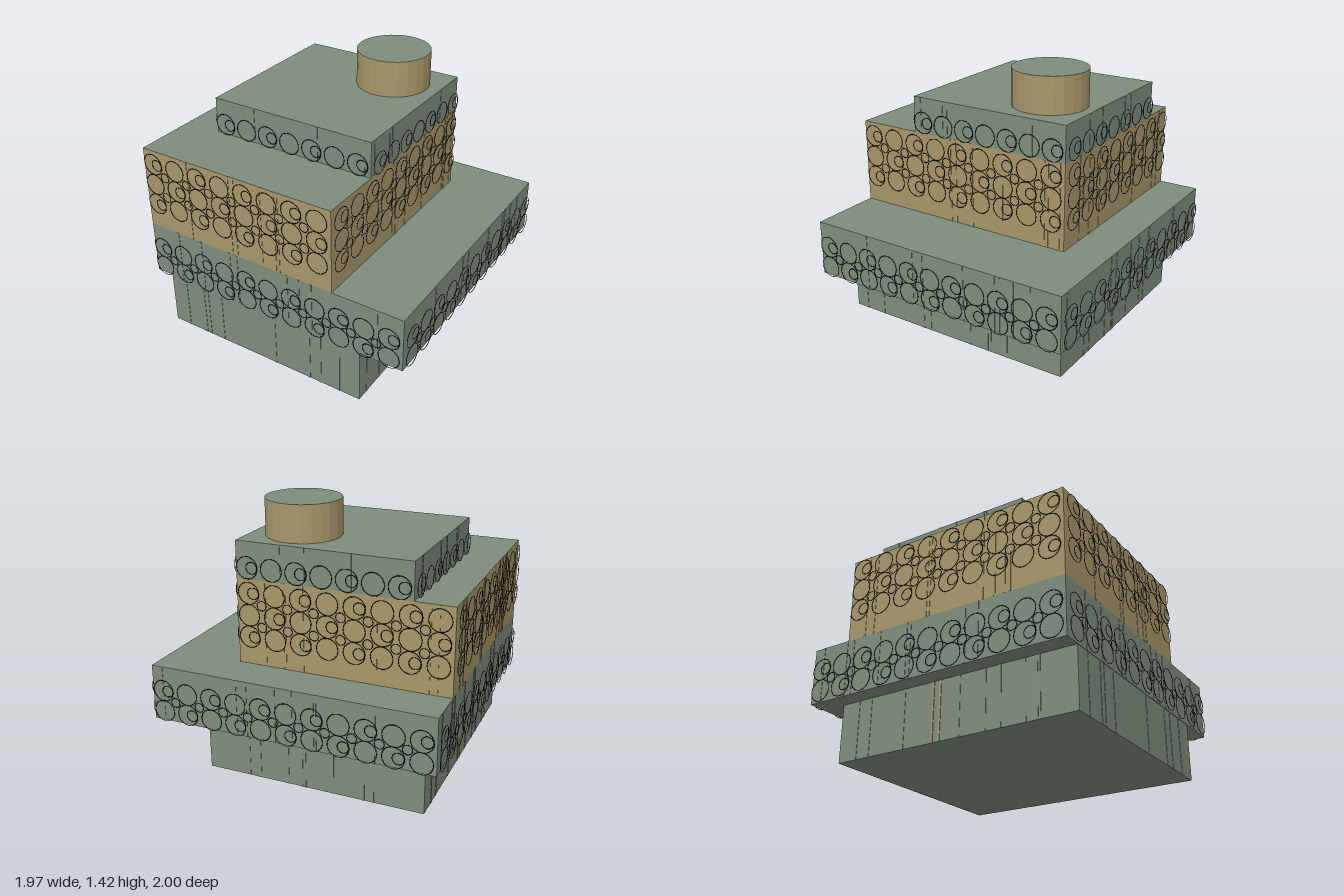
import * as THREE from 'three';
import { mergeGeometries } from 'three/addons/utils/BufferGeometryUtils.js';

const mat = (name, color) => {
  const m = new THREE.MeshStandardMaterial({ color });
  m.name = name;
  return m;
};

// small seeded generator for the panel strips
function seeded(seed) {
  return () => (seed = (seed * 16807) % 2147483647) / 2147483647;
}

export function createModel() {
  const green = mat('sage green', 0x7e8d7d);
  const tan = mat('ochre', 0xa8976a);
  const dark = mat('ring black', 0x18201f);
  const rand = seeded(4217);

  const model = new THREE.Group();
  const building = new THREE.Group();
  building.name = 'building';
  building.rotation.y = THREE.MathUtils.degToRad(24.5);
  model.add(building);

  const add = (parent, name, geometry, material) => {
    const mesh = new THREE.Mesh(geometry, material);
    mesh.name = name;
    parent.add(mesh);
    return mesh;
  };

  // fine wire rings for one wall: rows of big rings, nested small rings, fillers between rows
  function wallRings(length, dist, rows) {
    const parts = [];
    const n = Math.round(length / 0.135), pitch = length / n;
    const ring = (r, x, y) =>
      parts.push(new THREE.TorusGeometry(r, 0.0018, 4, 20).translate(x, y, dist + 0.013));
    rows.forEach((y, j) => {
      for (let i = 0; i < n; i++) {
        const x = (i + 0.5) * pitch - length / 2;
        ring(0.057, x, y);
        if ((i + j) % 2 === 0) ring(0.03, x + 0.025, y);
        if (j > 0 && i > 0) ring(0.025, x - pitch / 2, (y + rows[j - 1]) / 2);
      }
    });
    return mergeGeometries(parts);
  }

  // one storey: a box with upright strips and rings on its four walls
  function storey({ name, x, z, y, wall, rows, strips, accents = [] }) {
    const w = x[1] - x[0], d = z[1] - z[0], h = y[1] - y[0];
    const group = new THREE.Group();
    group.name = name;
    group.position.set((x[0] + x[1]) / 2, (y[0] + y[1]) / 2, (z[0] + z[1]) / 2);
    building.add(group);
    add(group, name + 'Body', new THREE.BoxGeometry(w, h, d), [wall, wall, green, green, wall, wall]);

    for (let k = 0; k < 4; k++) {
      const length = k % 2 ? d : w, dist = (k % 2 ? w : d) / 2;
      const side = new THREE.Group();
      side.name = name + 'Wall' + (k + 1);
      side.rotation.y = k * Math.PI / 2;
      group.add(side);
      // narrow upright strips in the wall colour
      const strip = (px) => new THREE.BoxGeometry(0.012, h, 0.004).translate(px, 0, dist);
      const plain = Array.from({ length: strips }, () => strip((rand() - 0.5) * (length - 0.06)));
      add(side, 'wallStrips', mergeGeometries(plain), wall);
      // ochre strips on the back wall
      if (k === 2) accents.forEach((px) => add(side, 'ochreStrip', strip(px).translate(0, 0, 0.001), tan));
      if (rows.length) add(side, 'wallRings', wallRings(length, dist, rows.map((r) => r - group.position.y)), dark);
    }
  }

  storey({ name: 'plinth', x: [-0.727, 0.598], z: [-0.663, 0.522], y: [0, 0.3],
    wall: green, rows: [], strips: 9, accents: [-0.1, -0.06] });
  storey({ name: 'lowerStorey', x: [-0.73, 0.73], z: [-0.757, 0.757], y: [0.3, 0.595],
    wall: green, rows: [0.47, 0.358], strips: 8 });
  storey({ name: 'middleStorey', x: [-0.73, 0.512], z: [-0.757, 0.368], y: [0.595, 1.045],
    wall: tan, rows: [0.975, 0.86, 0.745], strips: 8 });
  storey({ name: 'upperStorey', x: [-0.385, 0.512], z: [-0.555, 0.368], y: [1.045, 1.235],
    wall: green, rows: [1.105], strips: 4, accents: [-0.06] });

  // faceted round roof tower with a green cap
  const tower = new THREE.CylinderGeometry(0.194, 0.194, 0.19, 24).toNonIndexed();
  tower.computeVertexNormals();
  add(model, 'roofTower', tower, [tan, green, green]).position.set(0.292, 1.33, -0.012);

  return model;
}
